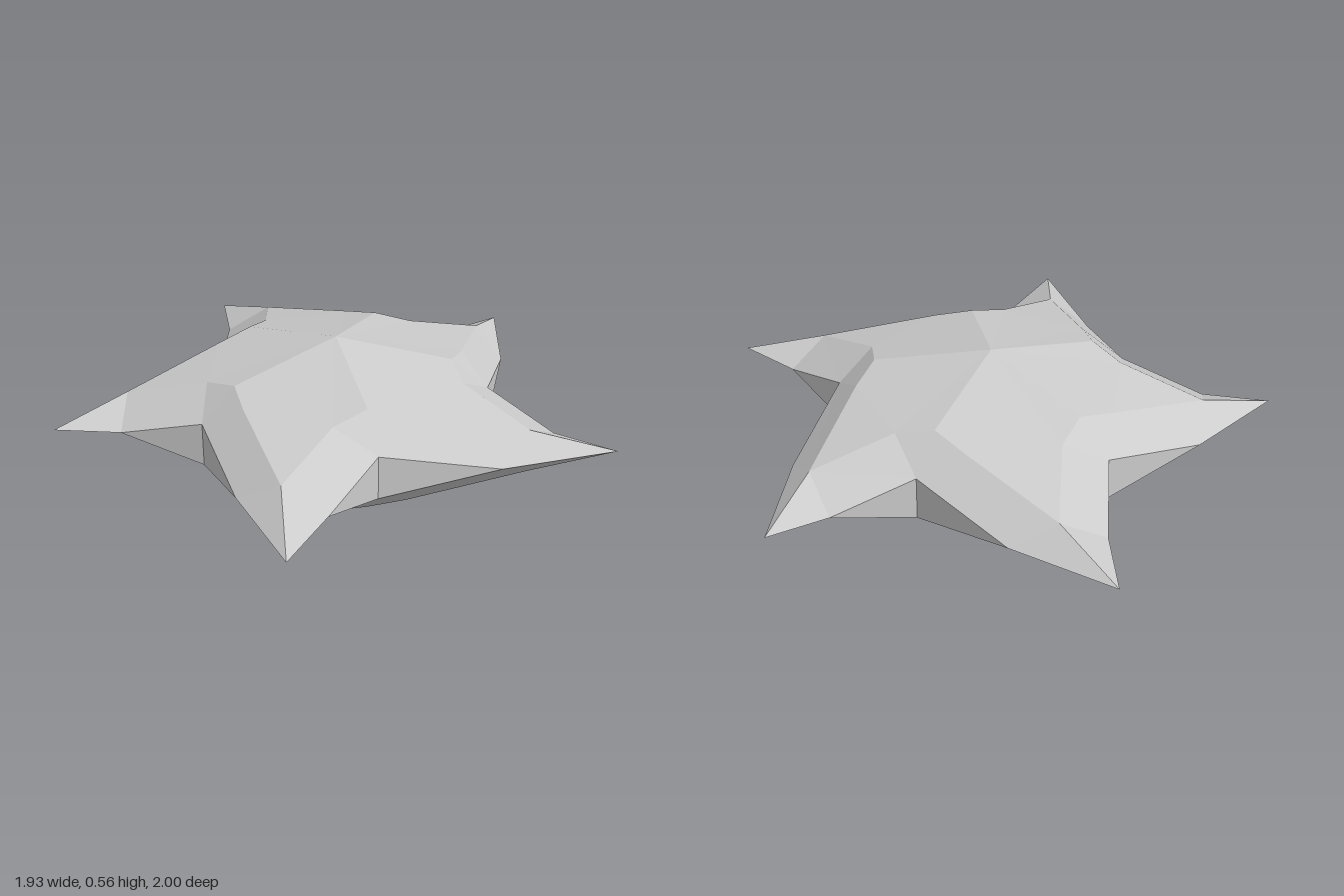
import * as THREE from 'three';

const MID = 0.278;                 // height of the mirror plane
const CX = -0.09, CZ = -0.035;     // centre of the body
// For each arm: middle of its half-way section, then its tip (x, z)
const ARMS = [
  [0.25, -0.72, 0.25, -1.0],
  [0.67, 0.055, 0.965, -0.05],
  [0.005, 0.705, 0.145, 0.995],
  [-0.785, 0.285, -0.97, 0.51],
  [-0.61, -0.595, -0.87, -0.715],
];

const V = (x, y, z) => new THREE.Vector3(x, y, z);

// Point in the direction of valley k
function spoke(k, r, y) {
  const a = -Math.PI / 2 + k * Math.PI * 2 / 5;
  return V(CX + r * Math.cos(a), y, CZ + r * Math.sin(a));
}

// Facets of the upper half, mirrored to give the lower half
function facetMesh(name, polygons, material) {
  const pos = [];
  const flip = (p) => V(p.x, -p.y, p.z);
  const tri = (...pts) => pts.forEach((p) => pos.push(p.x, p.y + MID, p.z));
  for (const poly of polygons) {
    for (let i = 1; i < poly.length - 1; i++) {
      const [a, b, c] = [poly[0], poly[i], poly[i + 1]];
      tri(a, b, c);
      tri(flip(a), flip(c), flip(b));
    }
  }
  const geometry = new THREE.BufferGeometry();
  geometry.setAttribute('position', new THREE.Float32BufferAttribute(pos, 3));
  geometry.computeVertexNormals();
  const mesh = new THREE.Mesh(geometry, material);
  mesh.name = name;
  return mesh;
}

export function createModel() {
  const group = new THREE.Group();
  group.name = 'star';
  const material = new THREE.MeshStandardMaterial({ color: 0xcccccc, flatShading: true });

  const apex = V(CX, MID, CZ);
  const valley = (k) => spoke(k, 0.56, 0.082);
  const inner = (k) => spoke(k, 0.425, 0.195);
  // Upper corners of an arm's base, lying on the line between two valleys
  const shoulder = (k, t) => {
    const p = valley(k).lerp(valley(k + 1), t);
    p.y = 0.165;
    return p;
  };

  // Faceted dome: five pentagons round the apex, a kite above each valley
  const body = [];
  for (let k = 0; k < 5; k++) {
    body.push([apex, inner(k + 1), shoulder(k, 0.75), shoulder(k, 0.25), inner(k)]);
    body.push([inner(k), shoulder(k, 0.25), valley(k), shoulder(k - 1, 0.75)]);
  }
  group.add(facetMesh('body', body, material));

  // Arms: base section, diamond half-way section, tip
  ARMS.forEach(([mx, mz, tx, tz], k) => {
    const v1 = valley(k), v2 = valley(k + 1);
    const e1 = V(v1.x, 0, v1.z), e2 = V(v2.x, 0, v2.z);
    const p1 = shoulder(k, 0.25), p2 = shoulder(k, 0.75);
    const half = e2.clone().sub(e1).setLength(0.165);
    const centre = V(mx, 0, mz);
    const m1 = centre.clone().sub(half), m2 = centre.clone().add(half);
    const ridge = V(mx, 0.082, mz), tip = V(tx, 0, tz);
    group.add(facetMesh('arm' + (k + 1), [
      [p1, p2, ridge],
      [v1, p1, ridge], [v1, ridge, m1], [v1, m1, e1],
      [v2, ridge, p2], [v2, m2, ridge], [v2, e2, m2],
      [m1, ridge, tip], [ridge, m2, tip],
    ], material));
  });

  return group;
}
